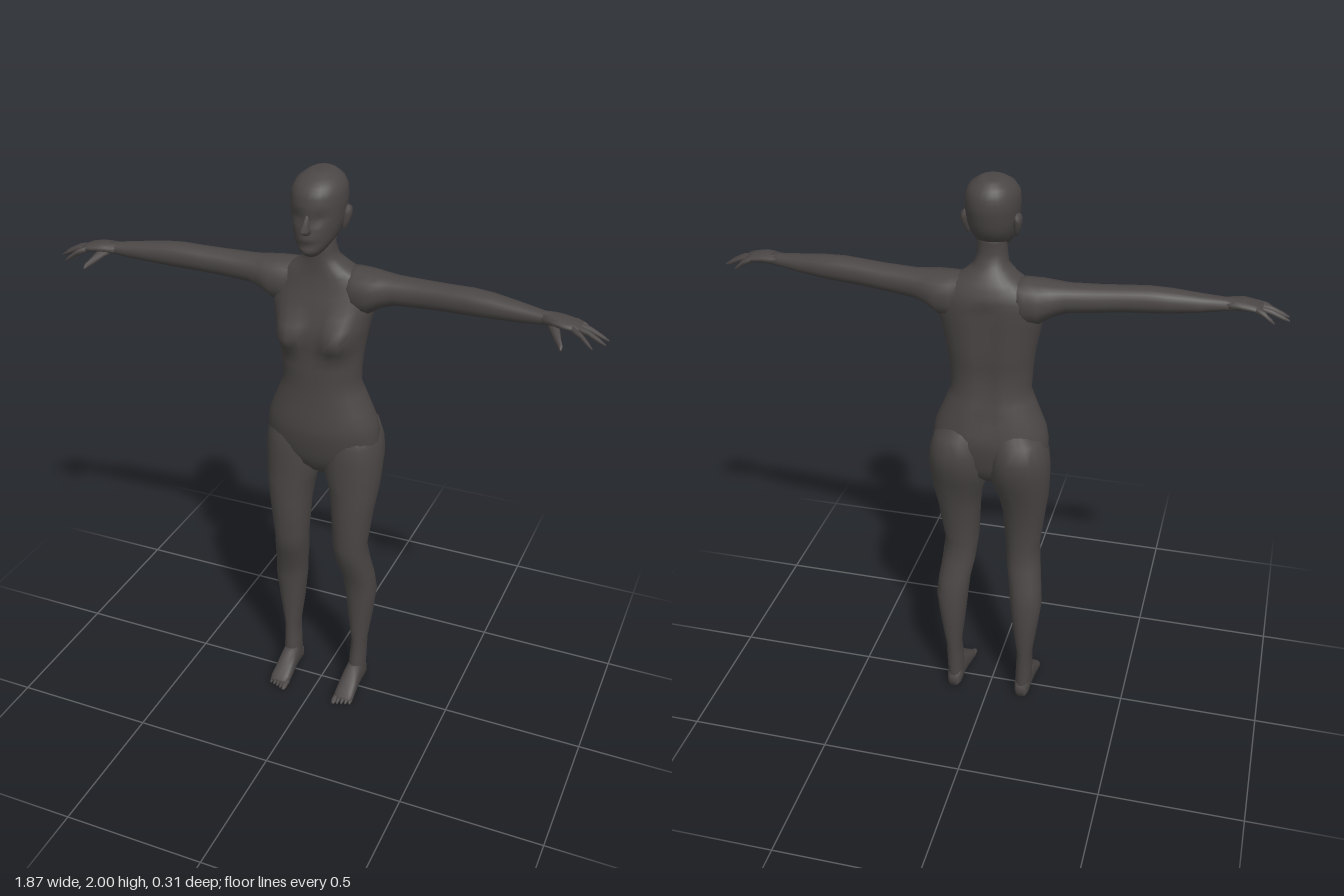
import * as THREE from 'three';

const skin = new THREE.MeshStandardMaterial({ color: 0x4b4646 });
skin.name = 'charcoal skin';

// Maps (distance along the loft, u, v) to x, y, z for each loft axis.
const AXES = {
  x: (t, u, v) => new THREE.Vector3(t, u, v),
  y: (t, u, v) => new THREE.Vector3(u, t, v),
  z: (t, u, v) => new THREE.Vector3(u, v, t),
};

// Closed loft through rounded sections [t, u0, u1, v0, v1]; side = -1 mirrors it in x.
function loft(name, axis, sections, { side = 1, segs = 14, sub = 1, round = 0.92, deform } = {}) {
  const rows = [];
  sections.forEach((s, i) => {
    const next = sections[i + 1];
    if (!next) return rows.push(s);
    for (let k = 0; k < sub; k++) rows.push(s.map((a, j) => a + (next[j] - a) * k / sub));
  });
  const power = (a) => Math.sign(a) * Math.abs(a) ** round;
  const pts = [];
  const put = (t, u, v) => {
    const p = AXES[axis](t, u, v);
    if (deform) deform(p);
    p.x *= side;
    pts.push(p);
  };
  for (const [t, u0, u1, v0, v1] of rows) {
    for (let k = 0; k < segs; k++) {
      const a = (k / segs) * Math.PI * 2;
      put(t, (u0 + u1) / 2 + (u1 - u0) / 2 * power(Math.cos(a)),
        (v0 + v1) / 2 + (v1 - v0) / 2 * power(Math.sin(a)));
    }
  }
  for (const [t, u0, u1, v0, v1] of [rows[0], rows.at(-1)]) put(t, (u0 + u1) / 2, (v0 + v1) / 2);
  const index = [];
  const last = (rows.length - 1) * segs, c0 = rows.length * segs;
  for (let k = 0; k < segs; k++) {
    const n = (k + 1) % segs;
    for (let r = 0; r < last; r += segs) {
      index.push(r + k, r + segs + k, r + n, r + n, r + segs + k, r + segs + n);
    }
    index.push(c0, k, n, c0 + 1, last + n, last + k);
  }
  // Turn the faces outward if the enclosed volume comes out negative.
  let volume = 0;
  for (let i = 0; i < index.length; i += 3) {
    const [a, b, c] = [pts[index[i]], pts[index[i + 1]], pts[index[i + 2]]];
    volume += a.dot(b.clone().cross(c));
  }
  if (volume < 0) index.reverse();
  const geo = new THREE.BufferGeometry().setFromPoints(pts);
  geo.setIndex(index);
  geo.computeVertexNormals();
  const mesh = new THREE.Mesh(geo, skin);
  mesh.name = name;
  return mesh;
}

const bump = (d, width) => Math.exp(-((d / width) ** 2));

// Chest fullness, with a steep lower edge, and a shallow spine groove.
function shapeTorso(p) {
  if (p.z > 0) {
    const dy = p.y - 1.45;
    p.z += 0.058 * bump(Math.abs(p.x) - 0.088, 0.052) * bump(dy, dy > 0 ? 0.075 : 0.035)
      * Math.min(1, p.z / 0.04);
  } else if (p.y > 1.15 && p.y < 1.62) {
    p.z += 0.012 * bump(p.x, 0.025);
  }
}

// Eye sockets, brow, lips and cheeks.
function shapeHead(p) {
  if (p.z < 0.03) return;
  const x = Math.abs(p.x);
  p.z -= 0.013 * bump(x - 0.034, 0.02) * bump(p.y - 1.873, 0.016);
  p.z += 0.006 * bump(x, 0.022) * bump(p.y - 1.807, 0.012);
  p.z -= 0.008 * bump(x, 0.03) * bump(p.y - 1.788, 0.009);
}

const mirrorWidth = ([y, w, front, back]) => [y, -w, w, back, front];

export function createModel() {
  const model = new THREE.Group();
  model.name = 'standing figure';

  // Torso and neck: height, half width, front, back
  model.add(loft('torso', 'y', [
    [0.935, 0.05, 0.03, -0.06], [0.97, 0.13, 0.06, -0.1], [1.02, 0.197, 0.078, -0.12],
    [1.1, 0.2, 0.095, -0.135], [1.15, 0.19, 0.095, -0.13], [1.22, 0.16, 0.09, -0.118],
    [1.28, 0.135, 0.088, -0.105], [1.35, 0.139, 0.09, -0.1], [1.42, 0.147, 0.087, -0.107],
    [1.5, 0.163, 0.083, -0.11], [1.57, 0.18, 0.073, -0.113], [1.62, 0.175, 0.06, -0.113],
    [1.66, 0.145, 0.052, -0.1], [1.69, 0.09, 0.05, -0.083], [1.72, 0.055, 0.05, -0.06],
    [1.76, 0.048, 0.052, -0.045], [1.83, 0.045, 0.04, -0.05],
  ].map(mirrorWidth), { segs: 28, sub: 2, deform: shapeTorso }));

  // Head: height, half width, front, back
  model.add(loft('head', 'y', [
    [1.748, 0.022, 0.105, 0.05], [1.76, 0.036, 0.122, 0.02], [1.778, 0.05, 0.126, -0.01],
    [1.8, 0.064, 0.125, -0.045], [1.825, 0.073, 0.124, -0.068], [1.85, 0.08, 0.122, -0.08],
    [1.88, 0.084, 0.122, -0.088], [1.915, 0.087, 0.12, -0.095], [1.95, 0.084, 0.112, -0.092],
    [1.975, 0.07, 0.088, -0.08], [1.993, 0.046, 0.055, -0.06], [2, 0.03, 0.035, -0.045],
  ].map(mirrorWidth), { segs: 28, sub: 2, round: 0.95, deform: shapeHead }));
  model.add(loft('nose', 'y', [
    [1.826, 0.012, 0.135, 0.1], [1.833, 0.018, 0.15, 0.1], [1.843, 0.015, 0.158, 0.1],
    [1.862, 0.009, 0.139, 0.1], [1.886, 0.007, 0.122, 0.1],
  ].map(mirrorWidth), { segs: 8 }));

  for (const side of [1, -1]) {
    const label = side > 0 ? 'left' : 'right';
    const add = (part, axis, sections, options) =>
      model.add(loft(label + part, axis, sections, { side, ...options }));

    add('Ear', 'y', [
      [1.815, 0.072, 0.082, -0.01, 0.008], [1.835, 0.07, 0.091, -0.022, 0.013],
      [1.865, 0.07, 0.099, -0.033, 0.014], [1.882, 0.07, 0.097, -0.03, 0.01],
      [1.89, 0.075, 0.088, -0.02, 0],
    ], { segs: 8 });

    // Arm: distance out, bottom, top, back, front
    add('Arm', 'x', [
      [0.07, 1.56, 1.685, -0.09, 0.035], [0.12, 1.535, 1.686, -0.1, 0.05],
      [0.165, 1.54, 1.684, -0.098, 0.054], [0.205, 1.567, 1.68, -0.085, 0.046],
      [0.25, 1.583, 1.677, -0.07, 0.034], [0.35, 1.591, 1.679, -0.056, 0.036],
      [0.43, 1.597, 1.682, -0.045, 0.042], [0.5, 1.6, 1.685, -0.04, 0.048],
      [0.57, 1.604, 1.681, -0.033, 0.052], [0.66, 1.611, 1.67, -0.014, 0.054],
      [0.735, 1.62, 1.661, 0.005, 0.057], [0.76, 1.622, 1.662, 0.005, 0.062],
    ]);

    // Hand, fingers and thumb
    add('Palm', 'x', [
      [0.73, 1.622, 1.66, 0.007, 0.056], [0.76, 1.624, 1.662, 0.002, 0.07],
      [0.79, 1.626, 1.66, 0, 0.082], [0.83, 1.624, 1.652, 0, 0.084], [0.85, 1.624, 1.643, 0.004, 0.08],
    ], { segs: 10 });
    // Finger: root z, tip x, tip z, tip y
    [[0.01, 0.89, 0.006, 1.601], [0.03, 0.935, 0.036, 1.602],
      [0.052, 0.932, 0.068, 1.601], [0.073, 0.9, 0.102, 1.596]].forEach(([z, tx, tz, ty], i) => {
      const at = (f, r, lift) => {
        const y = 1.637 + (ty - 1.637) * f + lift, zz = z + (tz - z) * f;
        return [0.83 + (tx - 0.83) * f, y - r, y + r, zz - r, zz + r];
      };
      add('Finger' + (i + 1), 'x',
        [at(0, 0.011, 0), at(0.45, 0.01, 0.006), at(0.8, 0.008, 0.002), at(1, 0.003, 0)], { segs: 6 });
    });
    add('Thumb', 'z', [
      [0.045, 0.745, 0.785, 1.62, 1.645], [0.075, 0.763, 0.797, 1.61, 1.637],
      [0.1, 0.784, 0.807, 1.597, 1.618], [0.118, 0.8, 0.817, 1.588, 1.604],
      [0.128, 0.809, 0.815, 1.585, 1.592],
    ], { segs: 7 });

    // Leg with buttock: height, inside, outside, back, front
    add('Leg', 'y', [
      [1.17, 0.03, 0.13, -0.1, 0.02], [1.12, 0.01, 0.185, -0.143, 0.06],
      [1.06, 0.003, 0.205, -0.156, 0.075], [1, 0.001, 0.21, -0.149, 0.078],
      [0.94, 0.006, 0.208, -0.127, 0.076], [0.88, 0.03, 0.204, -0.108, 0.077],
      [0.8, 0.043, 0.192, -0.085, 0.08], [0.65, 0.052, 0.172, -0.062, 0.076],
      [0.57, 0.06, 0.18, -0.076, 0.053], [0.5, 0.073, 0.189, -0.094, 0.024],
      [0.43, 0.08, 0.195, -0.106, 0.013], [0.32, 0.092, 0.181, -0.105, 0.007],
      [0.2, 0.108, 0.163, -0.091, -0.002], [0.13, 0.104, 0.163, -0.084, 0.003],
      [0.06, 0.101, 0.161, -0.084, 0.012], [0.015, 0.106, 0.156, -0.082, 0.008],
    ], { segs: 18 });

    // Foot: forward, inside, outside, bottom, top
    add('Foot', 'z', [
      [-0.086, 0.112, 0.15, 0.006, 0.05], [-0.07, 0.103, 0.158, 0.001, 0.075],
      [-0.02, 0.1, 0.162, 0.002, 0.11], [0.02, 0.097, 0.163, 0.003, 0.09],
      [0.06, 0.093, 0.166, 0, 0.06], [0.095, 0.092, 0.168, 0, 0.038],
      [0.112, 0.097, 0.163, 0.002, 0.026],
    ], { round: 0.75 });
    for (let i = 0; i < 5; i++) {
      const x = 0.102 + i * 0.0145, r = i ? 0.007 : 0.011, tip = 0.137 - i * 0.005;
      add('Toe' + (i + 1), 'z', [
        [0.09, x - r, x + r, 0.002, 0.028], [tip - 0.012, x - r, x + r, 0, 0.021],
        [tip, x - r / 2, x + r / 2, 0.002, 0.01],
      ], { segs: 6 });
    }
  }
  return model;
}
